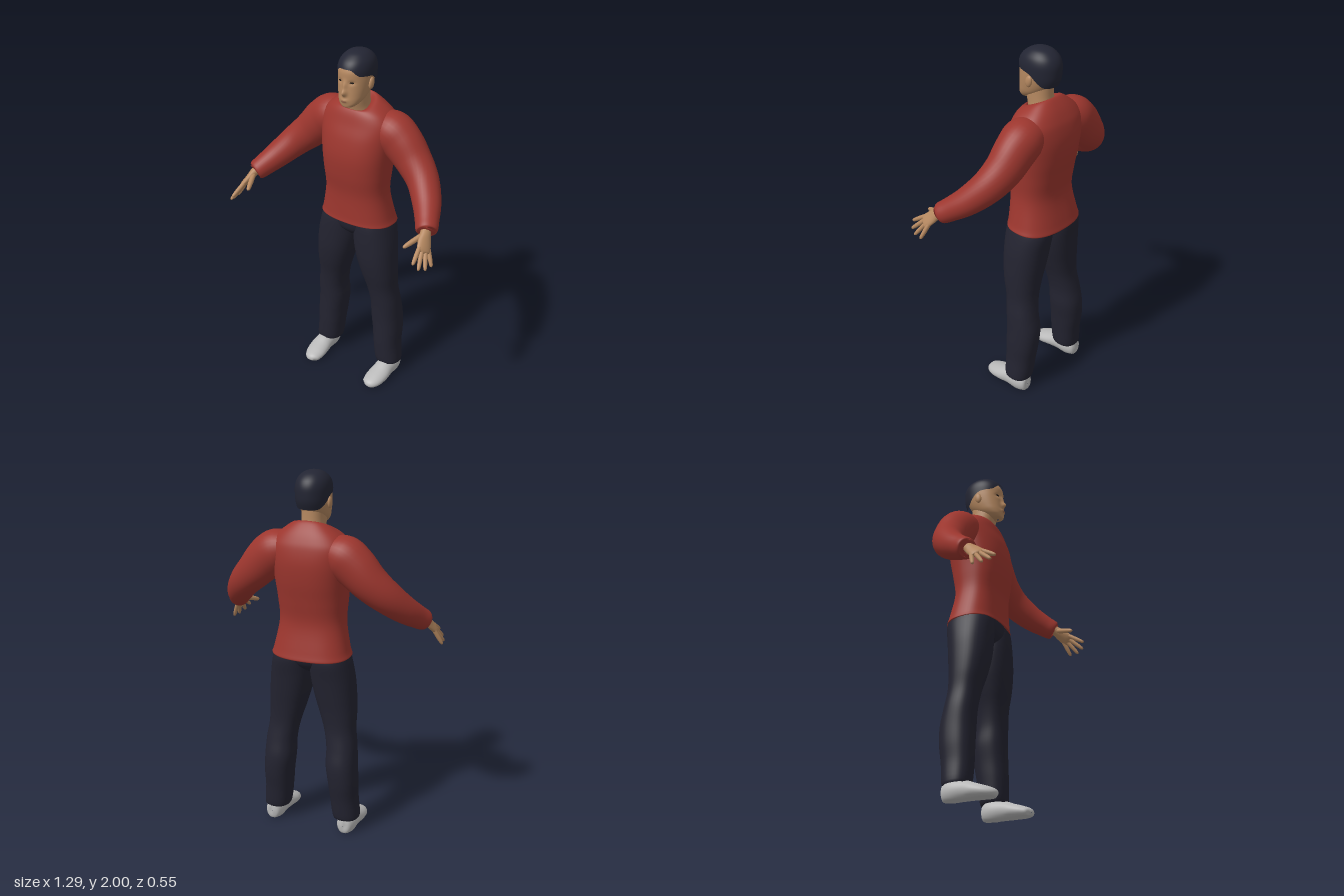
import * as THREE from 'three';

const mat = (name, color) => new THREE.MeshStandardMaterial({ name, color });
const TAU = Math.PI * 2;

// Smooth interpolation through the rows of a small table, at fractional row s
const spline = (a, b, c, d, t) =>
  b + 0.5 * t * (c - a + t * (2 * a - 5 * b + 4 * c - d + t * (3 * (b - c) + d - a)));
function sample(rows, s) {
  const last = rows.length - 1;
  const i = Math.min(Math.floor(s), last - 1);
  const at = (k) => rows[Math.max(0, Math.min(last, k))];
  return rows[0].map((_, k) => spline(at(i - 1)[k], at(i)[k], at(i + 1)[k], at(i + 2)[k], s - i));
}

// Skin closed around u, open along v
function skin(fn, nu, nv) {
  const pos = [], idx = [];
  for (let j = 0; j <= nv; j++)
    for (let i = 0; i < nu; i++) pos.push(...fn((i / nu) * TAU, j / nv));
  for (let j = 0; j < nv; j++)
    for (let i = 0; i < nu; i++) {
      const a = j * nu + i, b = j * nu + ((i + 1) % nu);
      idx.push(a, b, b + nu, a, b + nu, a + nu);
    }
  const g = new THREE.BufferGeometry();
  g.setAttribute('position', new THREE.Float32BufferAttribute(pos, 3));
  g.setIndex(idx);
  g.computeVertexNormals();
  return g;
}

// Superellipse ring: [y, centreX, halfWidth, frontZ, backZ, tilt]
function ringPoint([y, cx, rx, zf, zb, tilt], a, p) {
  const bend = (v) => Math.sign(v) * Math.abs(v) ** (2 / p);
  const nx = bend(Math.sin(a)), nz = bend(Math.cos(a));
  return [cx + rx * nx, y + tilt * nz, (zf + zb) / 2 + ((zf - zb) / 2) * nz];
}
const loft = (rings, p = 2.3, nu = 40, steps = 5) =>
  skin((a, v) => ringPoint(sample(rings, v * (rings.length - 1)), a, p), nu, (rings.length - 1) * steps);

// Limb along rows of [x, y, z, radius along ref, radius across]
function limb(rows, ref = [0, 1, 0], nu = 24, steps = 5) {
  const last = rows.length - 1;
  return skin((a, v) => {
    const s = v * last;
    const c = sample(rows, s);
    const p0 = new THREE.Vector3(...sample(rows, Math.max(0, s - 0.1)));
    const t = new THREE.Vector3(...sample(rows, Math.min(last, s + 0.1))).sub(p0).normalize();
    const u = new THREE.Vector3(...ref);
    u.addScaledVector(t, -u.dot(t)).normalize();
    const w = new THREE.Vector3().crossVectors(t, u);
    const p = new THREE.Vector3(c[0], c[1], c[2])
      .addScaledVector(u, Math.cos(a) * Math.max(c[3], 0.0005))
      .addScaledVector(w, Math.sin(a) * Math.max(c[4], 0.0005));
    return [p.x, p.y, p.z];
  }, nu, last * steps);
}

function mirrored(geo) {
  const g = geo.clone().applyMatrix4(new THREE.Matrix4().makeScale(-1, 1, 1));
  const ix = g.index.array;
  for (let i = 0; i < ix.length; i += 3) [ix[i], ix[i + 1]] = [ix[i + 1], ix[i]];
  return g;
}

// Head profile, chin to crown
const headRings = [
  [1.712, 0, 0.004, 0.0, -0.02, 0], [1.718, 0, 0.03, 0.018, -0.05, 0], [1.735, 0, 0.052, 0.024, -0.08, 0],
  [1.76, 0, 0.068, 0.024, -0.125, 0], [1.79, 0, 0.077, 0.022, -0.16, 0], [1.83, 0, 0.084, 0.019, -0.185, 0],
  [1.87, 0, 0.087, 0.018, -0.2, 0], [1.91, 0, 0.086, 0.016, -0.205, 0], [1.95, 0, 0.075, -0.005, -0.19, 0],
  [1.98, 0, 0.045, -0.045, -0.15, 0], [1.988, 0, 0.002, -0.09, -0.1, 0],
];
const bump = (v, c, w) => Math.exp(-(((v - c) / w) ** 2));
function headPoint(a, y) {
  let i = 0;
  while (i < headRings.length - 2 && headRings[i + 1][0] < y) i++;
  const s = i + (y - headRings[i][0]) / (headRings[i + 1][0] - headRings[i][0]);
  const p = ringPoint(sample(headRings, s), a, 2.2);
  const [x, h] = p;
  if (Math.cos(a) > 0) {
    p[2] += 0.024 * bump(x, 0, 0.013) * bump(h, 1.8, 0.018) + 0.012 * bump(x, 0, 0.011) * bump(h, 1.835, 0.025); // nose
    p[2] -= 0.007 * bump(Math.abs(x), 0.036, 0.016) * bump(h, 1.855, 0.012); // eye sockets
    p[2] += 0.008 * bump(x, 0, 0.022) * bump(h, 1.758, 0.012); // lips
  }
  return p;
}

// Thin lens-shaped patch lying on the face
function facePatch(angle, y, halfAngle, halfHeight) {
  const g = new THREE.PlaneGeometry(2, 2, 10, 4);
  const pos = g.attributes.position;
  for (let i = 0; i < pos.count; i++) {
    const u = pos.getX(i), v = pos.getY(i);
    const p = headPoint(angle + u * halfAngle, y + v * halfHeight * (1 - u * u));
    pos.setXYZ(i, p[0], p[1], p[2] + 0.003);
  }
  g.computeVertexNormals();
  return g;
}

export function createModel() {
  const root = new THREE.Group();
  root.name = 'standingMan';
  const skinTone = mat('skin', 0xb58860);
  const red = mat('redSweater', 0x9c362e);
  const navy = mat('navyTrousers', 0x232330);
  const hairMat = mat('darkHair', 0x232533);
  const grey = mat('greyShoes', 0xb9b9b9);
  const dark = mat('darkEyes', 0x1d1714);
  const lip = mat('lips', 0x9a6a50);
  const add = (name, geo, material) => {
    const m = new THREE.Mesh(geo, material);
    m.name = name;
    root.add(m);
  };
  const addPair = (name, geo, material) => {
    add(name + 'Left', geo, material);
    add(name + 'Right', mirrored(geo), material);
  };

  // Sweater body, from the turned-in hem to the turned-in collar
  add('sweaterBody', loft([
    [1.04, 0, 0.185, 0.0, -0.235, 0.01], [1.02, 0, 0.22, 0.024, -0.27, 0.01], [1.06, 0, 0.209, 0.022, -0.262, 0.005],
    [1.2, 0, 0.183, 0.022, -0.235, 0], [1.32, 0, 0.189, 0.04, -0.25, 0], [1.43, 0, 0.2, 0.046, -0.27, 0],
    [1.53, 0, 0.212, 0.03, -0.278, 0], [1.61, 0, 0.218, 0.002, -0.268, 0], [1.66, 0, 0.19, -0.015, -0.25, 0],
    [1.697, 0, 0.145, -0.028, -0.222, -0.012], [1.718, 0, 0.1, -0.035, -0.187, -0.03],
    [1.705, 0, 0.07, -0.04, -0.17, -0.028], [1.68, 0, 0.055, -0.05, -0.15, -0.02],
  ], 2.45, 56), red);

  // Sleeves
  addPair('sleeve', limb([
    [0.09, 1.6, -0.145, 0.07, 0.085], [0.18, 1.575, -0.145, 0.113, 0.11], [0.25, 1.525, -0.145, 0.115, 0.105],
    [0.33, 1.445, -0.135, 0.101, 0.096], [0.41, 1.37, -0.1, 0.088, 0.086], [0.48, 1.295, -0.03, 0.075, 0.076],
    [0.53, 1.24, 0.045, 0.063, 0.063], [0.556, 1.212, 0.09, 0.055, 0.056], [0.559, 1.209, 0.095, 0.035, 0.035],
    [0.558, 1.21, 0.093, 0.003, 0.003],
  ], [0, 1, 0], 32), red);

  // Hands: palm, four fingers and a thumb
  const across = [0.03, -0.025, -0.055];
  addPair('palm', limb([
    [0.54, 1.235, 0.065, 0.028, 0.026], [0.56, 1.207, 0.105, 0.03, 0.024], [0.573, 1.18, 0.135, 0.038, 0.02],
    [0.588, 1.152, 0.165, 0.041, 0.017], [0.594, 1.141, 0.178, 0.034, 0.012], [0.597, 1.136, 0.183, 0.002, 0.002],
  ], across, 20), skinTone);
  const fingers = [
    ['indexFinger', [0.574, 1.165, 0.185], [0.589, 1.112, 0.272]],
    ['middleFinger', [0.585, 1.153, 0.175], [0.614, 1.08, 0.257]],
    ['ringFinger', [0.594, 1.146, 0.158], [0.632, 1.064, 0.218]],
    ['littleFinger', [0.601, 1.14, 0.14], [0.639, 1.062, 0.168]],
    ['thumb', [0.552, 1.2, 0.125], [0.506, 1.163, 0.232]],
  ];
  for (const [name, a, b] of fingers) {
    const r = name === 'thumb' ? 0.0145 : 0.012;
    const profile = [[-0.15, r], [0.25, r], [0.6, r * 0.95], [0.88, r * 0.75], [0.97, r * 0.45], [1, 0.0005]];
    const rows = profile.map(([t, w]) => [...a.map((v, k) => v + (b[k] - v) * t), w, w]);
    addPair(name, limb(rows, across, 12, 3), skinTone);
  }

  // Trousers
  add('trouserSeat', loft([
    [0.93, 0, 0.03, -0.04, -0.18, 0], [0.97, 0, 0.13, -0.005, -0.225, 0],
    [1.02, 0, 0.19, 0.006, -0.245, 0], [1.07, 0, 0.18, 0.005, -0.235, 0],
  ]), navy);
  addPair('trouserLeg', loft([
    [0.12, 0.212, 0.04, -0.09, -0.17, 0], [0.083, 0.2125, 0.0725, -0.058, -0.203, 0.006], [0.2, 0.2, 0.076, -0.05, -0.22, 0],
    [0.3, 0.195, 0.081, -0.05, -0.235, 0], [0.4, 0.186, 0.085, -0.05, -0.238, 0], [0.5, 0.182, 0.083, -0.045, -0.22, 0],
    [0.6, 0.166, 0.086, -0.033, -0.206, 0], [0.7, 0.15, 0.101, -0.01, -0.21, 0], [0.8, 0.133, 0.113, 0.006, -0.222, 0],
    [0.9, 0.119, 0.117, 0.011, -0.235, 0], [1.0, 0.108, 0.107, 0.01, -0.25, 0], [1.06, 0.1, 0.095, 0.0, -0.235, 0],
  ]), navy);

  // Shoes, flattened at the ground
  const shoe = limb([
    [0.22, 0.045, -0.204, 0.002, 0.002], [0.22, 0.045, -0.197, 0.036, 0.048], [0.221, 0.045, -0.15, 0.052, 0.062],
    [0.22, 0.045, -0.08, 0.054, 0.055], [0.219, 0.035, -0.02, 0.06, 0.043], [0.212, 0.024, 0.04, 0.056, 0.034],
    [0.2, 0.018, 0.08, 0.036, 0.022], [0.195, 0.014, 0.092, 0.002, 0.002],
  ], [1, 0, 0], 32);
  const sp = shoe.attributes.position;
  for (let i = 0; i < sp.count; i++) sp.setY(i, Math.max(0, sp.getY(i)));
  shoe.computeVertexNormals();
  addPair('shoe', shoe, grey);

  // Neck and head
  add('neck', loft([
    [1.64, 0, 0.075, -0.045, -0.17, 0], [1.7, 0, 0.064, -0.035, -0.168, -0.01],
    [1.75, 0, 0.062, -0.02, -0.165, 0], [1.81, 0, 0.062, -0.02, -0.165, 0],
  ]), skinTone);
  add('head', skin((a, v) => headPoint(a, 1.712 + 0.276 * v), 96, 70), skinTone);
  const ear = new THREE.SphereGeometry(1, 16, 12).scale(0.012, 0.032, 0.02).rotateX(-0.2).translate(0.088, 1.835, -0.092);
  addPair('ear', ear, skinTone);
  addPair('eye', facePatch(0.4, 1.856, 0.15, 0.0055), dark);
  add('mouth', facePatch(0, 1.755, 0.27, 0.006), lip);

  // Close-cropped hair with a hairline that drops behind the ears
  const hairRings = [
    [1.8, 0, 0.083, 0.01, -0.192, 0], [1.84, 0, 0.089, 0.018, -0.209, 0], [1.88, 0, 0.092, 0.023, -0.214, 0],
    [1.92, 0, 0.0915, 0.022, -0.213, 0], [1.955, 0, 0.081, 0.004, -0.198, 0], [1.982, 0, 0.058, -0.03, -0.168, 0],
    [1.995, 0, 0.032, -0.062, -0.134, 0], [2.0, 0, 0.001, -0.095, -0.097, 0],
  ];
  const hairline = [[1.925], [1.922], [1.892], [1.885], [1.875], [1.835], [1.812], [1.808], [1.808]];
  add('hair', skin((a, v) => {
    const turn = Math.abs(a > Math.PI ? TAU - a : a) / Math.PI;
    const low = sample(hairline, turn * 8)[0];
    let i = 0;
    while (i < 6 && hairRings[i + 1][0] < low) i++;
    const s0 = i + (low - hairRings[i][0]) / (hairRings[i + 1][0] - hairRings[i][0]);
    return ringPoint(sample(hairRings, s0 + (7 - s0) * v), a, 2.1);
  }, 64, 24), hairMat);

  return root;
}
